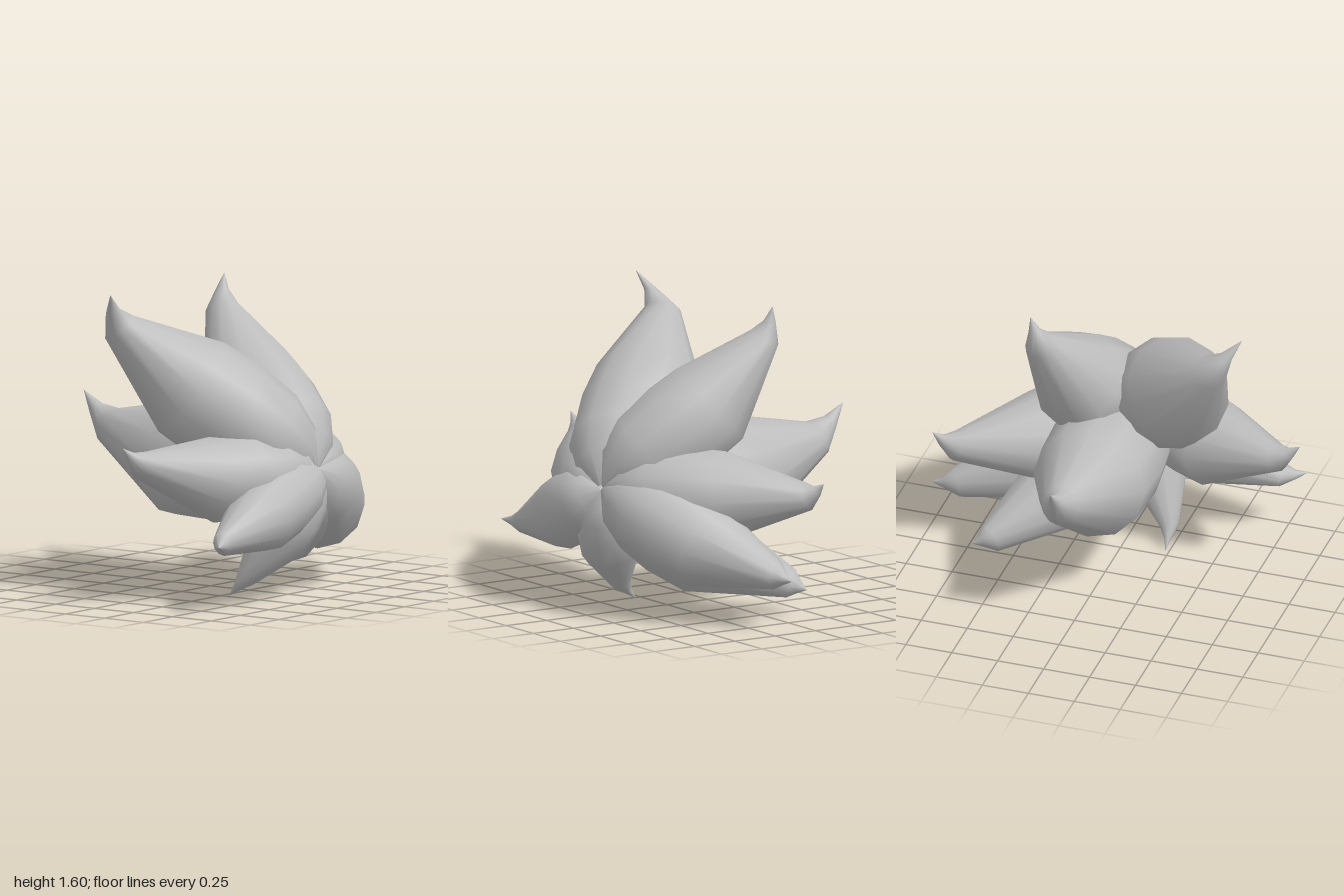
import * as THREE from 'three';

const leafGrey = new THREE.MeshStandardMaterial({ color: 0xbcbcbc });
leafGrey.name = 'leafGrey';

// Point where all the leaves meet
const BASE = new THREE.Vector3(0.02, 0.66, 0.66);
const SIDES = 12;

// Plump leaf profile with a straight taper: [position along the curve, radius / leaf length]
const PROFILE = [
  [0, 0.02], [0.08, 0.13], [0.19, 0.187], [0.34, 0.207], [0.49, 0.2],
  [0.75, 0.066], [0.87, 0.027], [1, 0],
];

// Each leaf: centre of its widest part, the neck before the hooked end, and the tip
const LEAVES = {
  backLeaf: [[0.02, 0.655, -0.22], [0.02, 0.785, -0.66], [0.02, 0.95, -0.83]],
  upperRightLeaf: [[-0.36, 1.1, 0.13], [-0.61, 1.41, -0.13], [-0.77, 1.6, -0.07]],
  upperLeftLeaf: [[0.185, 1.08, 0.1], [0.3, 1.41, -0.15], [0.35, 1.58, -0.17]],
  middleLeftLeaf: [[0.44, 0.635, 0.17], [0.79, 0.665, -0.09], [0.9, 0.74, -0.12]],
  lowerLeftLeaf: [[0.49, 0.395, 0.34], [0.86, 0.285, 0.15], [0.99, 0.27, 0.14]],
  underLeftLeaf: [[0.31, 0.32, 0.21], [0.58, 0.165, -0.13], [0.67, 0.14, -0.17]],
  bottomLeaf: [[-0.11, 0.31, 0.52], [-0.22, 0.1, 0.39], [-0.23, 0, 0.29]],
  lowerRightLeaf: [[-0.42, 0.45, 0.62], [-0.75, 0.36, 0.64], [-0.87, 0.36, 0.7]],
  middleRightLeaf: [[-0.48, 0.65, 0.38], [-0.87, 0.75, 0.2], [-1, 0.85, 0.18]],
};

// Sweeps the round profile along a leaf's curved centre line
function leafGeometry(points) {
  const [mid, neck, tip] = points.map((p) => new THREE.Vector3(...p));
  const half = BASE.clone().lerp(mid, 0.5);
  const curve = new THREE.CatmullRomCurve3([BASE, half, mid, neck, tip]);
  const length = BASE.distanceTo(tip);
  const side = tip.clone().sub(BASE).cross(new THREE.Vector3(0, 1, 0)).normalize();
  const positions = [];
  const index = [];

  PROFILE.forEach(([u, radius], i) => {
    const centre = curve.getPoint(u);
    const up = side.clone().cross(curve.getTangent(u)).normalize();
    for (let j = 0; j < SIDES; j++) {
      const a = (j / SIDES) * Math.PI * 2;
      const p = centre.clone()
        .addScaledVector(side, Math.cos(a) * radius * length)
        .addScaledVector(up, Math.sin(a) * radius * length);
      positions.push(p.x, p.y, p.z);
      if (i < PROFILE.length - 1) {
        const k = (j + 1) % SIDES;
        const r0 = i * SIDES;
        const r1 = r0 + SIDES;
        index.push(r0 + j, r1 + j, r0 + k, r0 + k, r1 + j, r1 + k);
      }
    }
  });

  const geometry = new THREE.BufferGeometry();
  geometry.setAttribute('position', new THREE.Float32BufferAttribute(positions, 3));
  geometry.setIndex(index);
  geometry.computeVertexNormals();
  return geometry;
}

export function createModel() {
  const model = new THREE.Group();
  model.name = 'succulent';
  for (const [name, points] of Object.entries(LEAVES)) {
    const leaf = new THREE.Mesh(leafGeometry(points), leafGrey);
    leaf.name = name;
    model.add(leaf);
  }
  return model;
}
